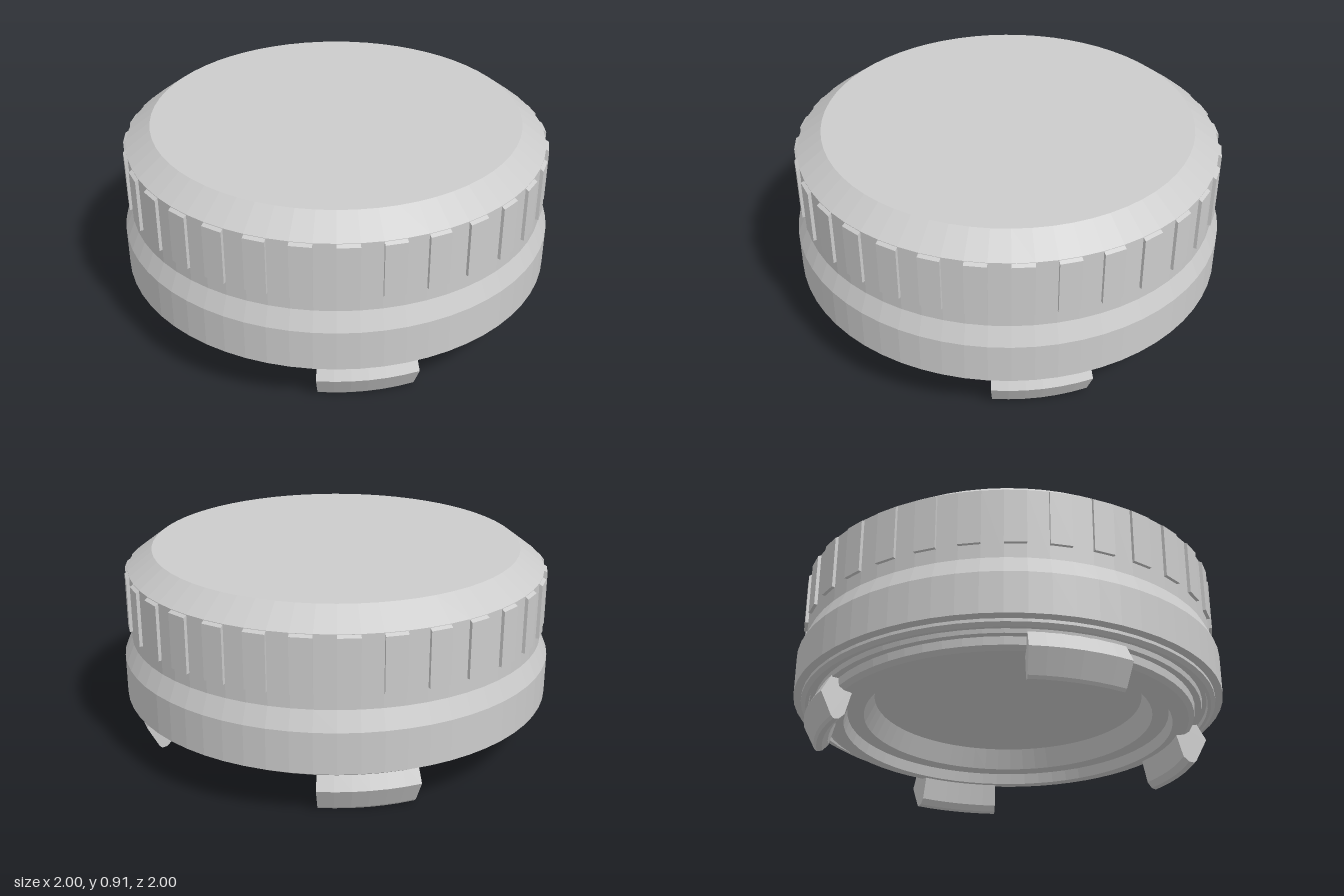
import * as THREE from 'three';
import { mergeGeometries } from 'three/addons/utils/BufferGeometryUtils.js';

const SIDES = 64;
const RIBS = 32;
const material = new THREE.MeshStandardMaterial({ color: 0xcccccc, flatShading: true });

const toPoints = (profile) => profile.map(([r, y]) => new THREE.Vector2(r, y));

// Closed (radius, height) outline swept around y from angle a0 to a1, with end caps.
// Angle 0 is the front (+z); the outline runs counter-clockwise.
function arcSolid(profile, a0, a1, steps) {
  const pts = toPoints(profile);
  const sweep = new THREE.LatheGeometry([...pts, pts[0].clone()], steps, a0, a1 - a0);
  const caps = [a0, a1].map((a, i) => {
    const cap = new THREE.ShapeGeometry(new THREE.Shape(pts)).rotateY(a - Math.PI / 2);
    if (i === 1) cap.index.array.reverse();
    return cap;
  });
  const geometry = mergeGeometries([sweep, ...caps]).toNonIndexed();
  geometry.computeVertexNormals();
  return geometry;
}

function addMesh(parent, name, geometry) {
  const mesh = new THREE.Mesh(geometry, material);
  mesh.name = name;
  parent.add(mesh);
  return mesh;
}

export function createModel() {
  const model = new THREE.Group();
  model.name = 'ribbedCap';
  const pitch = (Math.PI * 2) / RIBS;

  // Cap body: underside recess, stepped seat, flared skirt, bevelled top
  const body = new THREE.LatheGeometry(toPoints([
    [0, 0.275], [0.63, 0.275], [0.675, 0.18],        // recess
    [0.75, 0.18], [0.765, 0.13], [0.84, 0.14],       // seat ring
    [0.865, 0.155], [0.87, 0.19],
    [0.90, 0.19], [0.905, 0.212], [0.925, 0.212],    // groove
    [0.93, 0.195], [0.945, 0.195], [0.965, 0.208],
    [0.965, 0.222], [1, 0.228], [1, 0.415],          // skirt
    [0.963, 0.5], [0.963, 0.825],                    // grip wall
    [0.85, 0.91], [0, 0.91],                         // bevel and top
  ]), SIDES, pitch / 4).toNonIndexed();
  body.computeVertexNormals();
  addMesh(model, 'body', body);

  // Grip ribs around the wall
  const ribs = new THREE.Group();
  ribs.name = 'gripRibs';
  model.add(ribs);
  const rib = arcSolid([[0.95, 0.565], [0.978, 0.565], [0.978, 0.813], [0.95, 0.831]],
    -pitch / 4, pitch / 4, 1);
  for (let i = 0; i < RIBS; i++) {
    addMesh(ribs, 'gripRib', rib).rotation.y = (i + 0.5) * pitch;
  }

  // Four hooked clips under the rim
  const clips = new THREE.Group();
  clips.name = 'clips';
  model.add(clips);
  const clip = arcSolid([
    [0.785, 0.2], [0.83, 0.03], [0.855, 0.004], [0.88, 0], [0.892, 0.012],
    [0.945, 0.115], [0.9, 0.2],
  ], -0.24, 0.24, 6);
  for (let i = 0; i < 4; i++) {
    addMesh(clips, 'clip', clip).rotation.y = (i * Math.PI) / 2;
  }
  return model;
}
